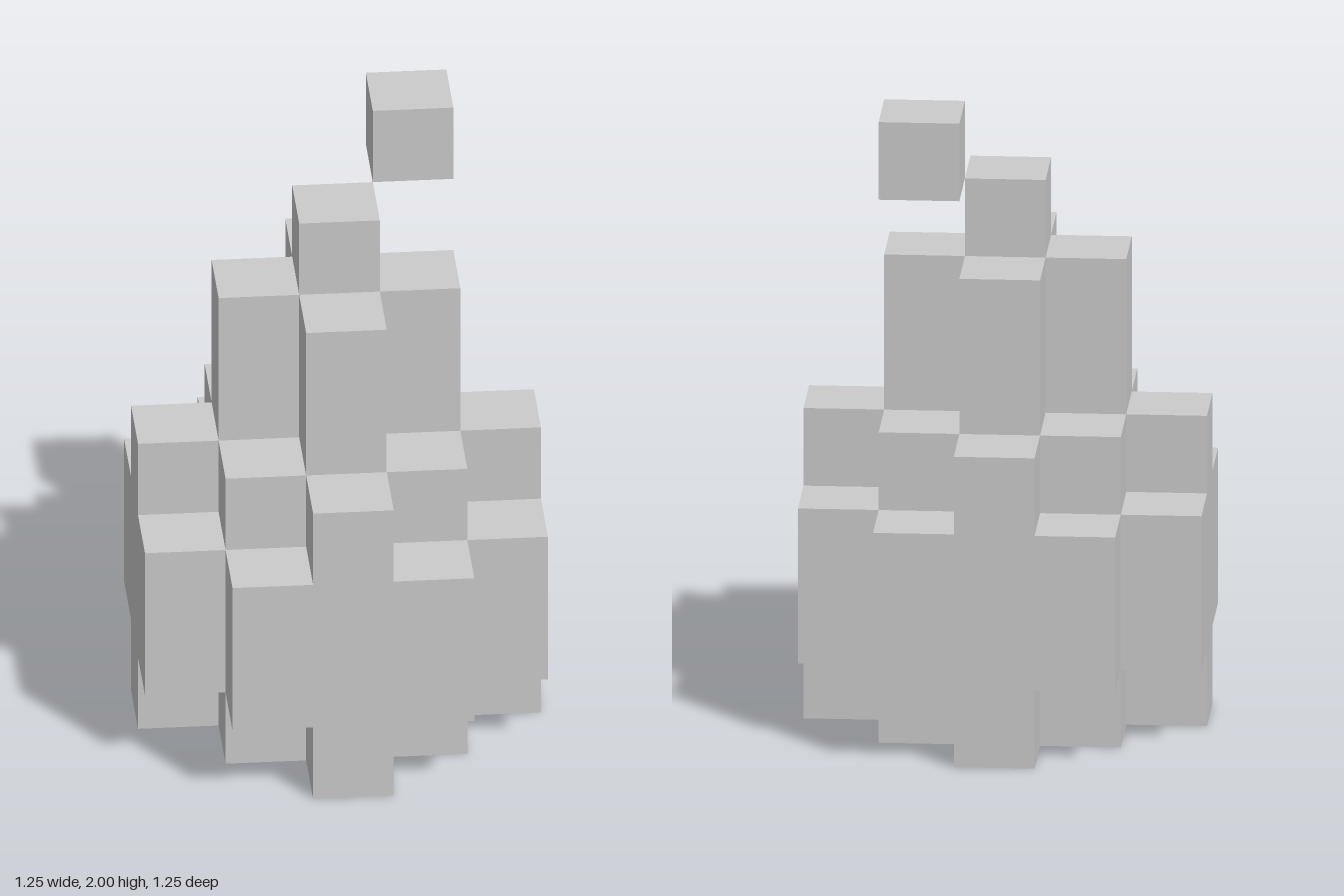
import * as THREE from 'three';
import { mergeGeometries } from 'three/addons/utils/BufferGeometryUtils.js';

const S = 0.25; // edge of one cube

// Footprints of a layer: does the cube in column x, row z exist?
const wide = (x, z) => Math.abs(x) <= 2 && Math.abs(z) <= 2 && Math.abs(x) + Math.abs(z) < 4;
const star = (x, z) => Math.max(Math.abs(x), Math.abs(z)) <= 1 || Math.abs(x) + Math.abs(z) === 2 && x * z === 0;
const plus = (x, z) => Math.abs(x) + Math.abs(z) <= 1;
const single = (x, z) => x === 0 && z === 0;
const offset = (x, z) => x === 1 && z === -1;

// Parts from bottom to top, each a run of equal layers
const parts = [
  { name: 'base', layers: 1, footprint: star },
  { name: 'belly', layers: 2, footprint: wide },
  { name: 'shoulder', layers: 1, footprint: star },
  { name: 'neck', layers: 2, footprint: plus },
  { name: 'tip', layers: 1, footprint: single },
  { name: 'floatingCube', layers: 1, footprint: offset },
];
const stack = parts.flatMap((p) => Array(p.layers).fill(p.footprint));
const filled = (x, y, z) => y >= 0 && y < stack.length && stack[y](x, z);

// Outward directions of the six cube faces
const directions = [[1, 0, 0], [-1, 0, 0], [0, 1, 0], [0, -1, 0], [0, 0, 1], [0, 0, -1]];
const forward = new THREE.Vector3(0, 0, 1);

function cubeFace(x, y, z, d) {
  const normal = new THREE.Vector3(...d);
  const turn = new THREE.Quaternion().setFromUnitVectors(forward, normal);
  if (d[2] === -1) turn.setFromAxisAngle(new THREE.Vector3(0, 1, 0), Math.PI);
  const centre = new THREE.Vector3(x, y + 0.5, z).multiplyScalar(S).addScaledVector(normal, S / 2);
  return new THREE.PlaneGeometry(S, S).applyQuaternion(turn).translate(centre.x, centre.y, centre.z);
}

export function createModel() {
  const model = new THREE.Group();
  model.name = 'steppedCubeTower';
  const material = new THREE.MeshStandardMaterial({ color: 0xcccccc, flatShading: true });

  let bottom = 0;
  for (const { name, layers } of parts) {
    // Only the exposed faces of each cube are made
    const faces = [];
    for (let y = bottom; y < bottom + layers; y++)
      for (let x = -2; x <= 2; x++)
        for (let z = -2; z <= 2; z++) {
          if (!filled(x, y, z)) continue;
          for (const d of directions)
            if (!filled(x + d[0], y + d[1], z + d[2])) faces.push(cubeFace(x, y, z, d));
        }
    const mesh = new THREE.Mesh(mergeGeometries(faces), material);
    mesh.name = name;
    model.add(mesh);
    bottom += layers;
  }
  return model;
}
